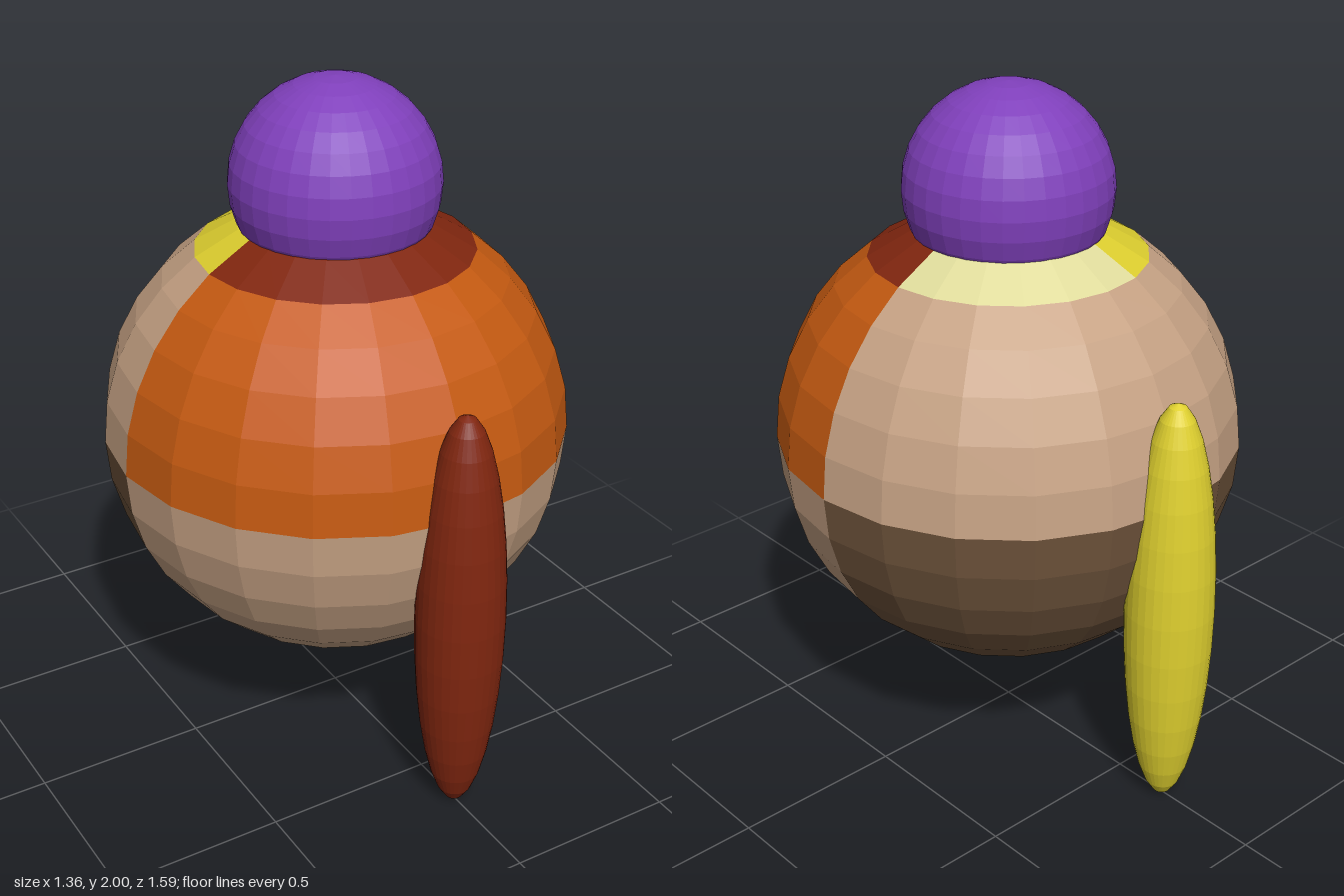
import * as THREE from 'three';

const paint = (name, color) => {
  const m = new THREE.MeshStandardMaterial({ color });
  m.name = name;
  m.flatShading = true;
  return m;
};

export function createModel() {
  const purple = paint('purple', 0x8040bc);
  const darkRed = paint('dark red', 0x80260f);
  const orange = paint('orange', 0xc55a11);
  const tan = paint('tan', 0xc6a284);
  const brown = paint('brown', 0x6e533b);
  const cream = paint('cream', 0xdfdb9b);
  const yellow = paint('yellow', 0xdfd02f);
  const magenta = paint('dark magenta', 0x640068);
  const lilac = paint('lilac', 0x9a86b6);

  const model = new THREE.Group();
  model.name = 'roundFigure';
  const add = (name, geometry, material, x, y, z, parent = model) => {
    const mesh = new THREE.Mesh(geometry, material);
    mesh.name = name;
    mesh.position.set(x, y, z);
    parent.add(mesh);
    return mesh;
  };

  // Head
  add('head', new THREE.SphereGeometry(0.3, 32, 16), purple, 0, 1.7, 0);

  // Body: a sphere made of coloured patches (angles in degrees, 18 per segment around)
  const body = new THREE.Group();
  body.name = 'body';
  body.position.y = 0.955;
  model.add(body);
  const rad = THREE.MathUtils.degToRad;
  const patches = [
    // name, material, start around, sweep around, start from top, sweep down, rings
    ['frontCollar', darkRed, 0, 180, 0, 36, 3],
    ['backCollarLeft', cream, 180, 108, 0, 36, 3],
    ['backCollarRight', yellow, 288, 72, 0, 36, 3],
    ['chest', orange, 0, 180, 36, 54, 5],
    ['upperBack', tan, 180, 180, 36, 54, 5],
    ['belly', tan, 0, 180, 90, 54, 5],
    ['lowerBack', brown, 180, 180, 90, 54, 5],
    ['frontBase', magenta, 0, 180, 144, 36, 3],
    ['backBaseLeft', lilac, 180, 108, 144, 36, 3],
    ['backBaseRight', purple, 288, 72, 144, 36, 3],
  ];
  for (const [name, material, phi, sweep, theta, drop, rings] of patches) {
    add(name, new THREE.SphereGeometry(0.68, sweep / 18, rings,
      rad(phi), rad(sweep), rad(theta), rad(drop)), material, 0, 0, 0, body);
  }

  // Long oval legs, one at the front and one at the back
  for (const [name, material, side] of [['frontLeg', darkRed, 1], ['backLeg', yellow, -1]]) {
    const oval = new THREE.SphereGeometry(0.127, 32, 16).scale(1, 5, 1);
    add(name, oval, material, 0, 0.637, side * 0.67);
  }
  return model;
}
